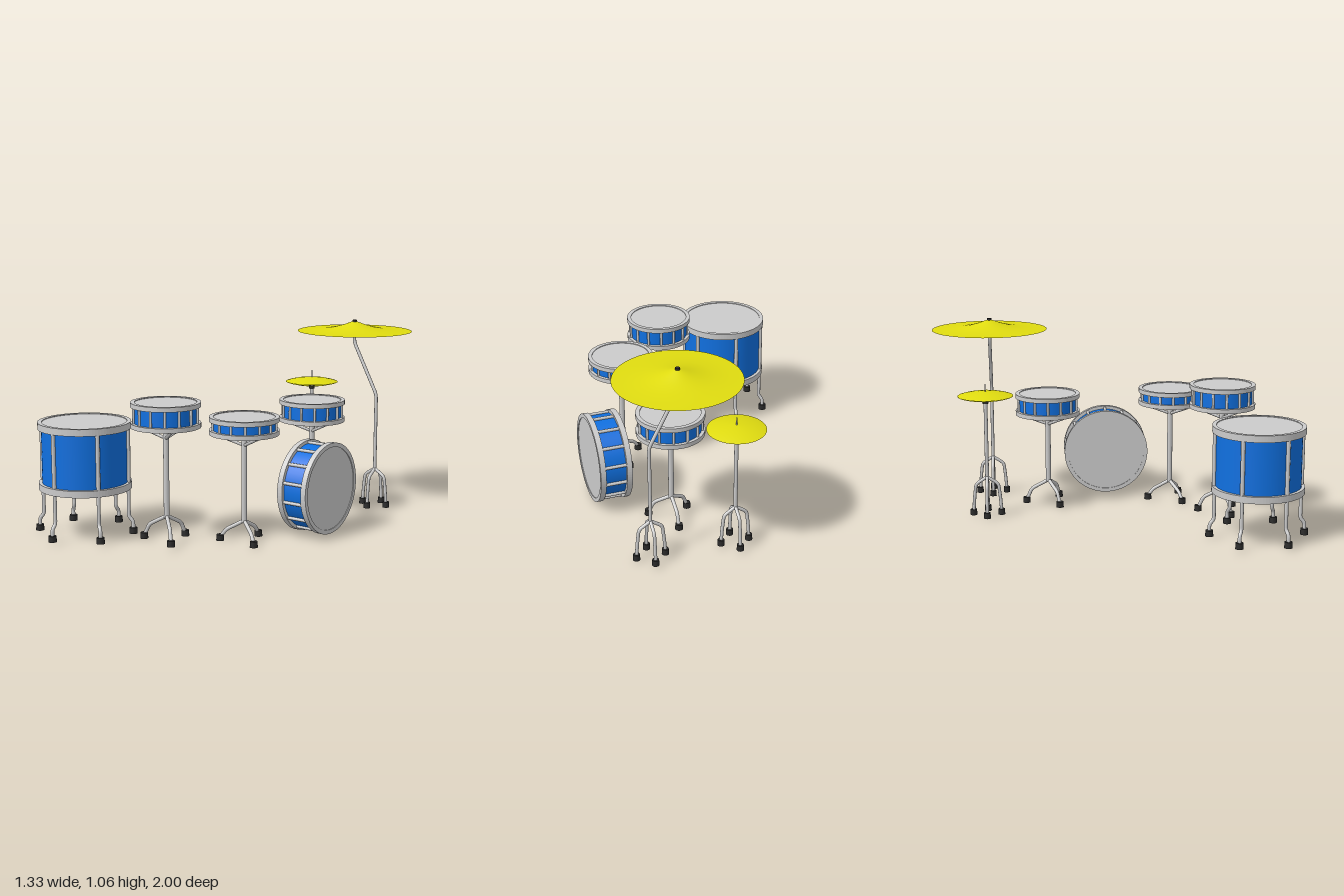
import * as THREE from 'three';

const paint = (color) => new THREE.MeshStandardMaterial({ color, side: THREE.DoubleSide });
const grey = paint(0xcccccc);
const blue = paint(0x1070e0);
const yellow = paint(0xe0dc10);
const black = paint(0x2a2a2a);

const V = (x, y, z) => new THREE.Vector3(x, y, z);

function add(parent, name, geometry, material, x = 0, y = 0, z = 0) {
  const mesh = new THREE.Mesh(geometry, material);
  mesh.name = name;
  mesh.position.set(x, y, z);
  parent.add(mesh);
  return mesh;
}

function group(parent, name, x = 0, y = 0, z = 0) {
  const g = new THREE.Group();
  g.name = name;
  g.position.set(x, y, z);
  parent.add(g);
  return g;
}

// Round pipe through points, with softly rounded corners
function pipe(parent, name, points, radius) {
  const path = new THREE.CurvePath();
  let from = points[0];
  for (let i = 1; i < points.length - 1; i++) {
    const p = points[i];
    const bend = Math.min(0.02, p.distanceTo(points[i - 1]) * 0.45, p.distanceTo(points[i + 1]) * 0.45);
    const a = p.clone().add(points[i - 1].clone().sub(p).setLength(bend));
    const b = p.clone().add(points[i + 1].clone().sub(p).setLength(bend));
    path.add(new THREE.LineCurve3(from, a));
    path.add(new THREE.QuadraticBezierCurve3(a, p, b));
    from = b;
  }
  path.add(new THREE.LineCurve3(from, points[points.length - 1]));
  return add(parent, name, new THREE.TubeGeometry(path, points.length * 10, radius, 12), grey);
}

// Hoop with a rectangular section
function hoop(outer, inner, height) {
  const h = height / 2;
  const shape = new THREE.Shape().absarc(0, 0, outer, 0, Math.PI * 2);
  shape.holes.push(new THREE.Path().absarc(0, 0, inner, 0, Math.PI * 2, true));
  return new THREE.ExtrudeGeometry(shape, { depth: height, bevelEnabled: false, curveSegments: 48 })
    .rotateX(-Math.PI / 2).translate(0, -h, 0);
}

// Drum centred on its own origin, axis along y
function drum(parent, name, { radius, height, rim, rods, rodRadius, rodStart = 0, inset = 0.018 }) {
  const g = group(parent, name);
  const shellRadius = radius - inset;
  add(g, 'shell', new THREE.CylinderGeometry(shellRadius, shellRadius, height - rim, 64, 1, true), blue);
  for (const s of [1, -1]) {
    add(g, 'rim', hoop(radius, shellRadius - 0.004, rim), grey, 0, s * (height - rim) / 2, 0);
    add(g, 'drumHead', new THREE.CylinderGeometry(shellRadius, shellRadius, 0.004, 64), grey, 0, s * (height / 2 - 0.006), 0);
  }
  for (let i = 0; i < rods; i++) {
    const a = rodStart + i * Math.PI * 2 / rods;
    const r = shellRadius + rodRadius * 0.5;
    add(g, 'tensionRod', new THREE.CylinderGeometry(rodRadius, rodRadius, height - rim, 10), grey, Math.cos(a) * r, 0, Math.sin(a) * r);
  }
  return g;
}

// Bent legs with rubber feet; each profile point is [distance from axis, height]
function legs(parent, count, start, profile, radius, footRadius) {
  for (let i = 0; i < count; i++) {
    const a = start + i * Math.PI * 2 / count;
    const pts = profile.map(([r, y]) => V(Math.cos(a) * r, y, Math.sin(a) * r));
    const end = pts[pts.length - 1];
    pipe(parent, 'leg', pts, radius);
    add(parent, 'rubberFoot', new THREE.CylinderGeometry(footRadius * 0.92, footRadius, 0.032, 16), black, end.x, end.y, end.z);
  }
}

// Small drum on a three-legged stand
function standDrum(parent, name, { x, z, bottom, top, hip, ground, turn }) {
  const g = group(parent, name, x, 0, z);
  const height = top - bottom;
  const d = drum(g, 'drum', { radius: 0.18, height, rim: 0.024, rods: 14, rodRadius: 0.007, rodStart: Math.PI / 14 + Math.PI / 2 });
  d.position.y = (top + bottom) / 2;
  const hub = bottom - 0.06;
  pipe(g, 'pole', [V(0, hip - 0.01, 0), V(0, hub + 0.03, 0)], 0.015);
  for (let i = 0; i < 3; i++) {
    const a = turn + i * Math.PI * 2 / 3;
    pipe(g, 'cradleArm', [V(0, hub, 0), V(Math.cos(a) * 0.165, bottom + 0.002, Math.sin(a) * 0.165)], 0.008);
  }
  legs(g, 3, turn, [[0, hip], [0.095, hip - 0.05], [0.125, ground + 0.016]], 0.01, 0.021);
}

// Thin cymbal; profile from centre outwards
function cymbal(parent, name, profile, y) {
  return add(parent, name, new THREE.LatheGeometry(profile.map(([r, h]) => new THREE.Vector2(r, h)), 64), yellow, 0, y, 0);
}

const cymbalFeet = [[0, 0.225], [0.062, 0.185], [0.072, 0.1], [0.077, 0.026]];

export function createModel() {
  const model = new THREE.Group();
  model.name = 'drumKit';

  // Floor tom on six legs
  const tom = group(model, 'floorTom', -0.425, 0, 0.725);
  drum(tom, 'drum', { radius: 0.243, height: 0.355, rim: 0.036, rods: 6, rodRadius: 0.011, rodStart: Math.PI / 2 }).position.y = 0.4275;
  legs(tom, 6, Math.PI / 2, [[0.229, 0.26], [0.229, 0.1], [0.252, 0.075], [0.252, 0.026]], 0.01, 0.022);

  // Three small drums on stands
  standDrum(model, 'frontSnare', { x: 0.02, z: 0.595, bottom: 0.605, top: 0.735, hip: 0.14, ground: 0.01, turn: 0.7 });
  standDrum(model, 'middleSnare', { x: 0.327, z: 0.34, bottom: 0.565, top: 0.657, hip: 0.11, ground: 0, turn: Math.PI / 6 });
  standDrum(model, 'rearSnare', { x: 0.272, z: -0.36, bottom: 0.525, top: 0.645, hip: 0.14, ground: 0.008, turn: Math.PI / 6 });

  // Bass drum lying on its side
  const bass = drum(model, 'bassDrum', { radius: 0.242, height: 0.175, rim: 0.03, rods: 14, rodRadius: 0.009 });
  bass.rotation.z = Math.PI / 2;
  bass.position.set(0.538, 0.253, -0.02);

  // Large cymbal on a cranked stand
  const crash = group(model, 'largeCymbal', 0.34, 0, -0.68);
  cymbal(crash, 'cymbal', [[0.004, 1.053], [0.02, 1.05], [0.06, 1.035], [0.12, 1.018], [0.18, 1.008], [0.25, 1.002], [0.32, 1]], 0);
  add(crash, 'nut', new THREE.CylinderGeometry(0.012, 0.013, 0.014, 16), black, 0, 1.054, 0);
  pipe(crash, 'pole', [V(0, 1.05, 0), V(0, 0.935, 0), V(0.15, 0.65, 0), V(0.15, 0.215, 0)], 0.0095);
  const crashBase = group(crash, 'base', 0.15, 0, 0);
  legs(crashBase, 4, 0, cymbalFeet, 0.009, 0.019);

  // Paired cymbals
  const pair = group(model, 'pairedCymbals', 0.04, 0, -0.7);
  const bow = [[0.004, 0.024], [0.04, 0.022], [0.09, 0.015], [0.13, 0.006], [0.15, 0]];
  cymbal(pair, 'upperCymbal', bow, 0.681);
  cymbal(pair, 'lowerCymbal', bow.map(([r, h]) => [r, -h]), 0.679);
  pipe(pair, 'pole', [V(0, 0.215, 0), V(0, 0.665, 0)], 0.0105);
  add(pair, 'collar', new THREE.CylinderGeometry(0.016, 0.016, 0.02, 16), black, 0, 0.648, 0);
  add(pair, 'pullRod', new THREE.CylinderGeometry(0.003, 0.003, 0.11, 8), grey, 0, 0.69, 0);
  legs(pair, 4, 0, cymbalFeet, 0.009, 0.019);

  return model;
}
